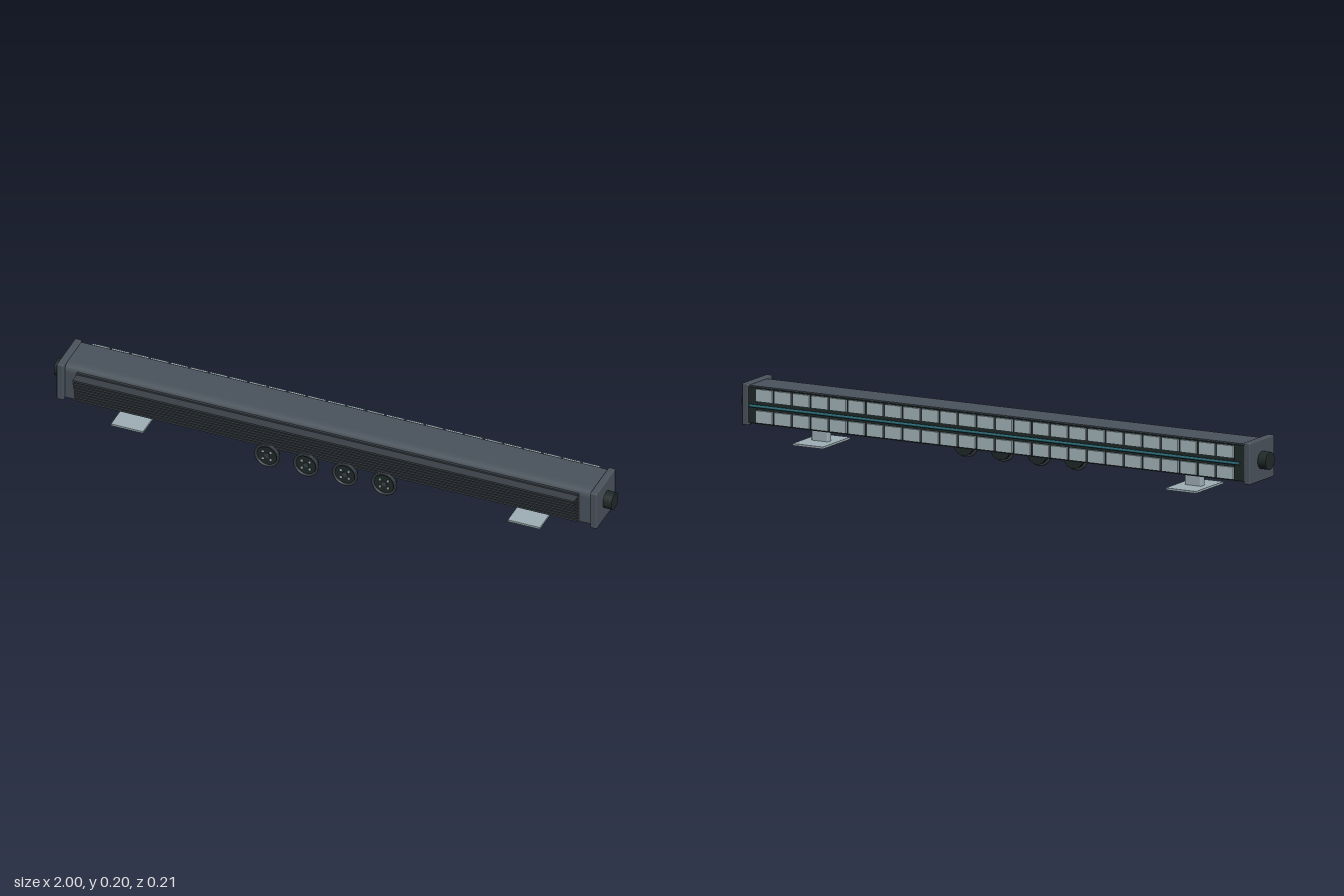
import * as THREE from 'three';
import { RoundedBoxGeometry } from 'three/addons/geometries/RoundedBoxGeometry.js';

const mat = (name, color, side = THREE.FrontSide) => {
  const m = new THREE.MeshStandardMaterial({ color, side });
  m.name = name;
  return m;
};

export function createModel() {
  const housing = mat('slate housing', 0x4a535c);
  const finGrey = mat('fin grey', 0x3a4046);
  const black = mat('dark green black', 0x1f2929);
  const steel = mat('pale steel', 0x9fb0b6);
  const glass = mat('pale lens', 0xa6b8be);
  const teal = mat('teal strip', 0x2d6f7b);

  const root = new THREE.Group();
  root.name = 'lightBar';
  const CY = 0.131, CZ = -0.006;

  const add = (parent, name, geo, material, x = 0, y = 0, z = 0) => {
    const m = new THREE.Mesh(geo, material);
    m.name = name;
    m.position.set(x, y, z);
    parent.add(m);
    return m;
  };
  const box = (w, h, d) => new THREE.BoxGeometry(w, h, d);
  const discZ = (r, d, n = 32) => new THREE.CylinderGeometry(r, r, d, n).rotateX(Math.PI / 2);

  // Long body: side profile with a rounded top front edge, swept along x
  const profile = new THREE.Shape();
  profile.moveTo(0.08, 0.067);
  profile.lineTo(0.08, 0.196);
  profile.lineTo(-0.035, 0.196);
  profile.quadraticCurveTo(-0.06, 0.194, -0.062, 0.172);
  profile.lineTo(-0.062, 0.067);
  profile.closePath();
  const bodyGeo = new THREE.ExtrudeGeometry(profile, { depth: 1.9, bevelEnabled: false, curveSegments: 10 });
  bodyGeo.translate(0, 0, -0.95).rotateY(Math.PI / 2);
  // after the turn, shape x runs towards -z
  add(root, 'body', bodyGeo, housing);

  // Cooling fins on the front, shorter towards the bottom
  const fins = new THREE.Group();
  fins.name = 'coolingFins';
  root.add(fins);
  add(fins, 'finBase', box(1.8, 0.108, 0.014), finGrey, 0, 0.125, 0.062);
  for (let i = 0; i < 8; i++) {
    const tip = 0.104 - i * 0.0032;
    add(fins, 'fin', box(1.8, 0.007, tip - 0.055), finGrey, 0, 0.17 - i * 0.0128, (tip + 0.055) / 2);
  }

  // Back panel with two rows of lenses and a central strip
  const back = new THREE.Group();
  back.name = 'lensPanel';
  root.add(back);
  add(back, 'backPanel', box(1.89, 0.122, 0.006), black, 0, CY, -0.082);
  const COUNT = 26, pitch = 1.83 / COUNT;
  for (const y of [0.168, 0.0955])
    for (let i = 0; i < COUNT; i++)
      add(back, 'lens', box(pitch - 0.008, 0.042, 0.007), glass, (i - (COUNT - 1) / 2) * pitch, y, -0.0935);
  add(back, 'lensCarrier', box(1.82, 0.112, 0.006), black, 0, CY, -0.087);
  const strip = new THREE.CylinderGeometry(0.005, 0.005, 1.87, 10).rotateZ(Math.PI / 2);
  add(back, 'centreStrip', strip, teal, 0, CY, -0.096);

  // End caps, hinge knobs and mounting feet, mirrored left and right
  for (const s of [-1, 1]) {
    const side = new THREE.Group();
    side.name = s > 0 ? 'leftEnd' : 'rightEnd';
    root.add(side);
    add(side, 'endCap', new RoundedBoxGeometry(0.025, 0.142, 0.163, 2, 0.005), housing, s * 0.957, CY, CZ);
    const knob = new THREE.CylinderGeometry(0.03, 0.03, 0.04, 32).rotateZ(Math.PI / 2);
    add(side, 'endKnob', knob, black, s * 0.98, CY, CZ);
    add(side, 'footPost', new RoundedBoxGeometry(0.064, 0.06, 0.026, 3, 0.006), steel, s * 0.712, 0.04, CZ);
    add(side, 'footPlate', box(0.115, 0.007, 0.182), steel, s * 0.712, 0.0165, CZ);
  }

  // Round sockets hanging below the front edge
  const rim = new THREE.LatheGeometry([
    [0.036, -0.005], [0.043, -0.005], [0.045, -0.003], [0.045, 0.003], [0.043, 0.005], [0.036, 0.005], [0.036, -0.005],
  ].map(([x, y]) => new THREE.Vector2(x, y)), 32).rotateX(Math.PI / 2);
  for (let i = 0; i < 4; i++) {
    const socket = new THREE.Group();
    socket.name = 'socket';
    socket.position.set((i - 1.5) * 0.14, 0.045, 0);
    root.add(socket);
    add(socket, 'socketBarrel', discZ(0.037, 0.022), black, 0, 0, 0.073);
    add(socket, 'socketRim', rim, finGrey, 0, 0, 0.083);
    add(socket, 'socketHub', discZ(0.009, 0.003, 16), finGrey, 0, 0, 0.085);
    for (let k = 0; k < 4; k++) {
      const a = Math.PI / 4 + k * Math.PI / 2;
      add(socket, 'socketPin', discZ(0.004, 0.003, 10), glass, Math.cos(a) * 0.02, Math.sin(a) * 0.02, 0.085);
    }
  }
  return root;
}
